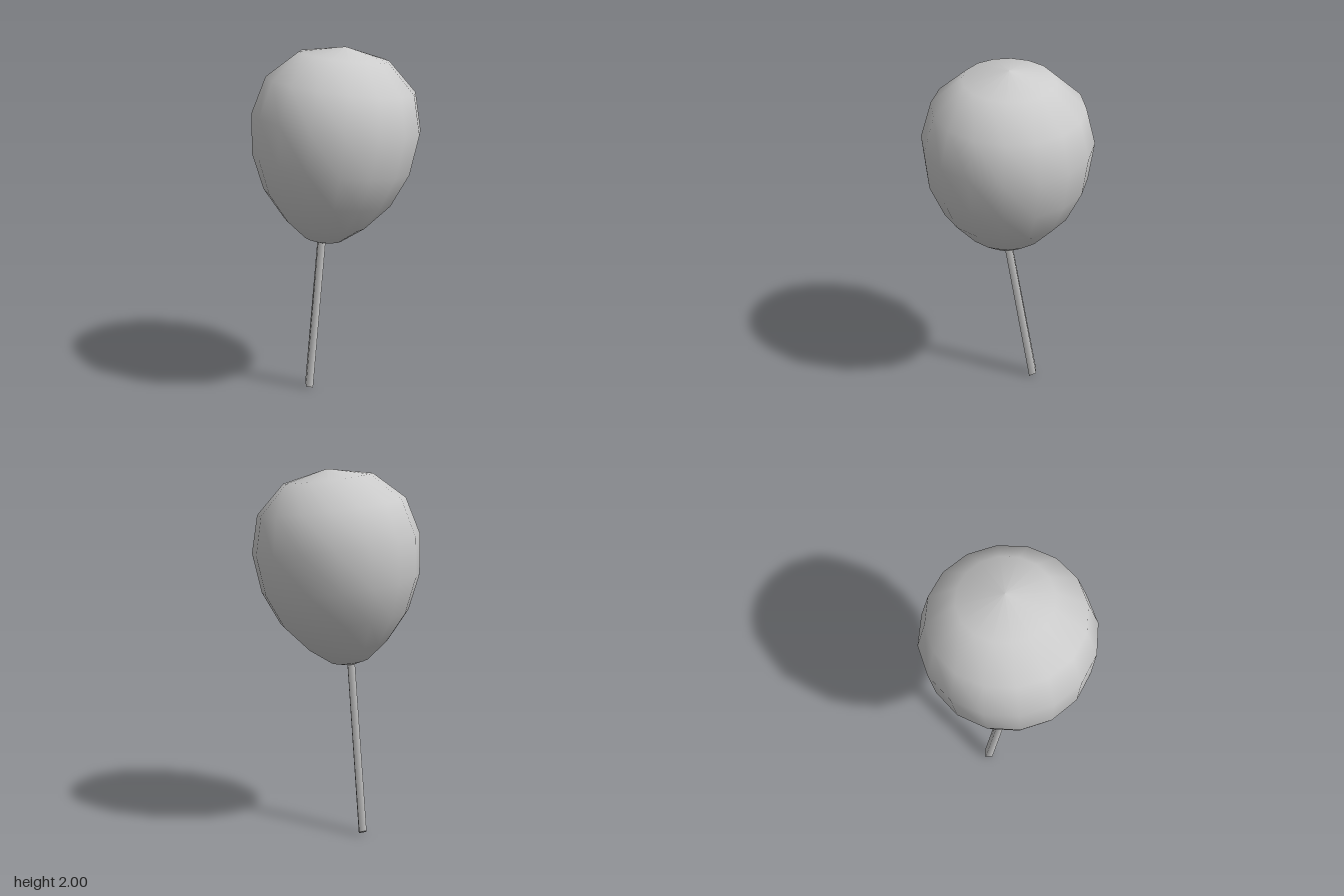
import * as THREE from 'three';

const material = new THREE.MeshStandardMaterial({ color: 0xcccccc });

// Egg-shaped balloon, lathed from its bottom pole and leaned on its axis
function makeBalloon() {
  const profile = [
    [0, 0], [0.106, 0.031], [0.226, 0.125], [0.353, 0.275], [0.434, 0.462],
    [0.459, 0.68], [0.404, 0.883], [0.242, 1.033], [0, 1.084],
  ].map(([r, h]) => new THREE.Vector2(r, h));
  const balloon = new THREE.Mesh(new THREE.LatheGeometry(profile, 16), material);
  balloon.name = 'balloon';
  const axis = new THREE.Vector3(0.12, 1, -0.02).normalize();
  const twist = new THREE.Quaternion().setFromAxisAngle(new THREE.Vector3(0, 1, 0), -0.026);
  balloon.quaternion.setFromUnitVectors(new THREE.Vector3(0, 1, 0), axis).multiply(twist);
  balloon.position.set(-0.08, 0.922, 0.012);
  return balloon;
}

// Square string, sheared so it hangs down, sideways and back, with a slanted end
function makeString() {
  const top = new THREE.Vector3(-0.083, 0.945, 0.002);
  const bottom = new THREE.Vector3(-0.144, 0.015, -0.147);
  const geometry = new THREE.CylinderGeometry(0.029, 0.029, 1, 4, 1, false, Math.PI / 4);
  const p = geometry.attributes.position;
  const centre = new THREE.Vector3();
  for (let i = 0; i < p.count; i++) {
    const x = p.getX(i), z = p.getZ(i), isTop = p.getY(i) > 0;
    centre.copy(isTop ? top : bottom);
    const slant = isTop ? 0 : -0.5 * z - 0.2 * x;
    p.setXYZ(i, centre.x + x, centre.y + slant, centre.z + z);
  }
  const string = new THREE.Mesh(geometry, material);
  string.name = 'string';
  return string;
}

export function createModel() {
  const model = new THREE.Group();
  model.name = 'balloonOnString';
  model.add(makeBalloon(), makeString());
  return model;
}
